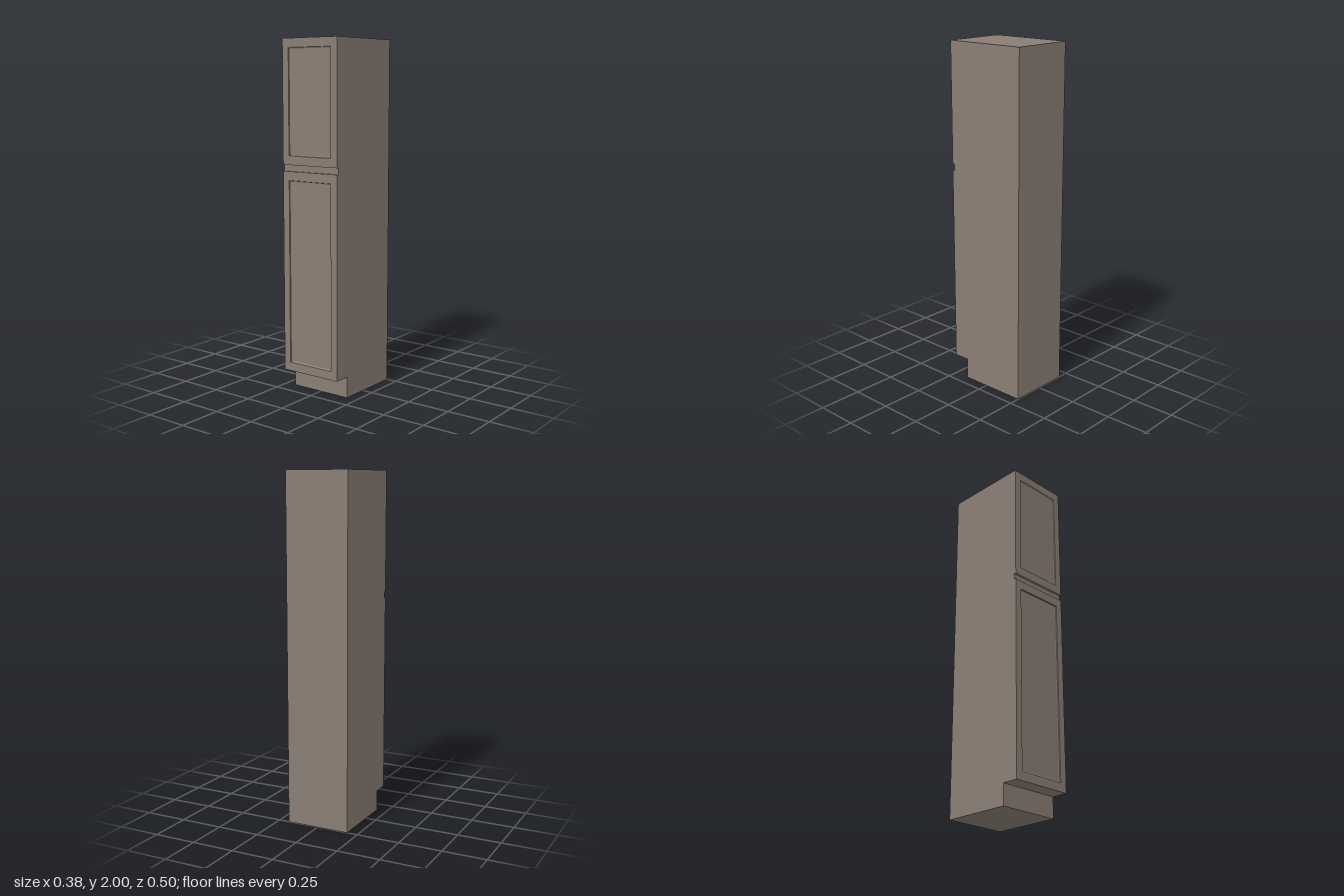
import * as THREE from 'three';

const W = 0.375, FRONT = 0.25, BACK = -0.25, CARCASS_FRONT = 0.238;

const material = new THREE.MeshStandardMaterial({ color: 0x8a7e74, flatShading: true });

// Cabinet body: side outline with a toe kick, extruded across the width
function carcassGeometry() {
  const outline = [[BACK, 0], [0.155, 0], [0.155, 0.12], [CARCASS_FRONT, 0.12], [CARCASS_FRONT, 2], [BACK, 2]];
  const shape = new THREE.Shape(outline.map(([z, y]) => new THREE.Vector2(-z, y)));
  const geometry = new THREE.ExtrudeGeometry(shape, { depth: W, bevelEnabled: false });
  geometry.translate(0, 0, -W / 2);
  geometry.rotateY(Math.PI / 2);
  return geometry;
}

// Door: nested rectangles joined from the back edge to the sunken panel
function doorGeometry(y0, y1) {
  const steps = [
    [0, CARCASS_FRONT],
    [0, FRONT],
    [0.042, FRONT],
    [0.044, FRONT - 0.005],
    [0.049, FRONT - 0.008],
  ];
  const rings = steps.map(([inset, z]) => {
    const x = W / 2 - inset, a = y0 + inset + (inset ? 0.008 : 0), b = y1 - inset - (inset ? 0.008 : 0);
    return [[-x, a, z], [x, a, z], [x, b, z], [-x, b, z]];
  });
  const positions = [];
  const quad = (a, b, c, d) => positions.push(...a, ...b, ...c, ...a, ...c, ...d);
  for (let r = 0; r < rings.length - 1; r++) {
    for (let i = 0; i < 4; i++) {
      const j = (i + 1) % 4;
      quad(rings[r][i], rings[r][j], rings[r + 1][j], rings[r + 1][i]);
    }
  }
  quad(...rings[rings.length - 1]);
  const geometry = new THREE.BufferGeometry();
  geometry.setAttribute('position', new THREE.Float32BufferAttribute(positions, 3));
  geometry.computeVertexNormals();
  return geometry;
}

export function createModel() {
  const group = new THREE.Group();
  group.name = 'tallCabinet';
  const add = (name, geometry) => {
    const mesh = new THREE.Mesh(geometry, material);
    mesh.name = name;
    group.add(mesh);
  };
  add('carcass', carcassGeometry());
  add('lowerDoor', doorGeometry(0.12, 1.27));
  add('upperDoor', doorGeometry(1.306, 2));
  return group;
}
